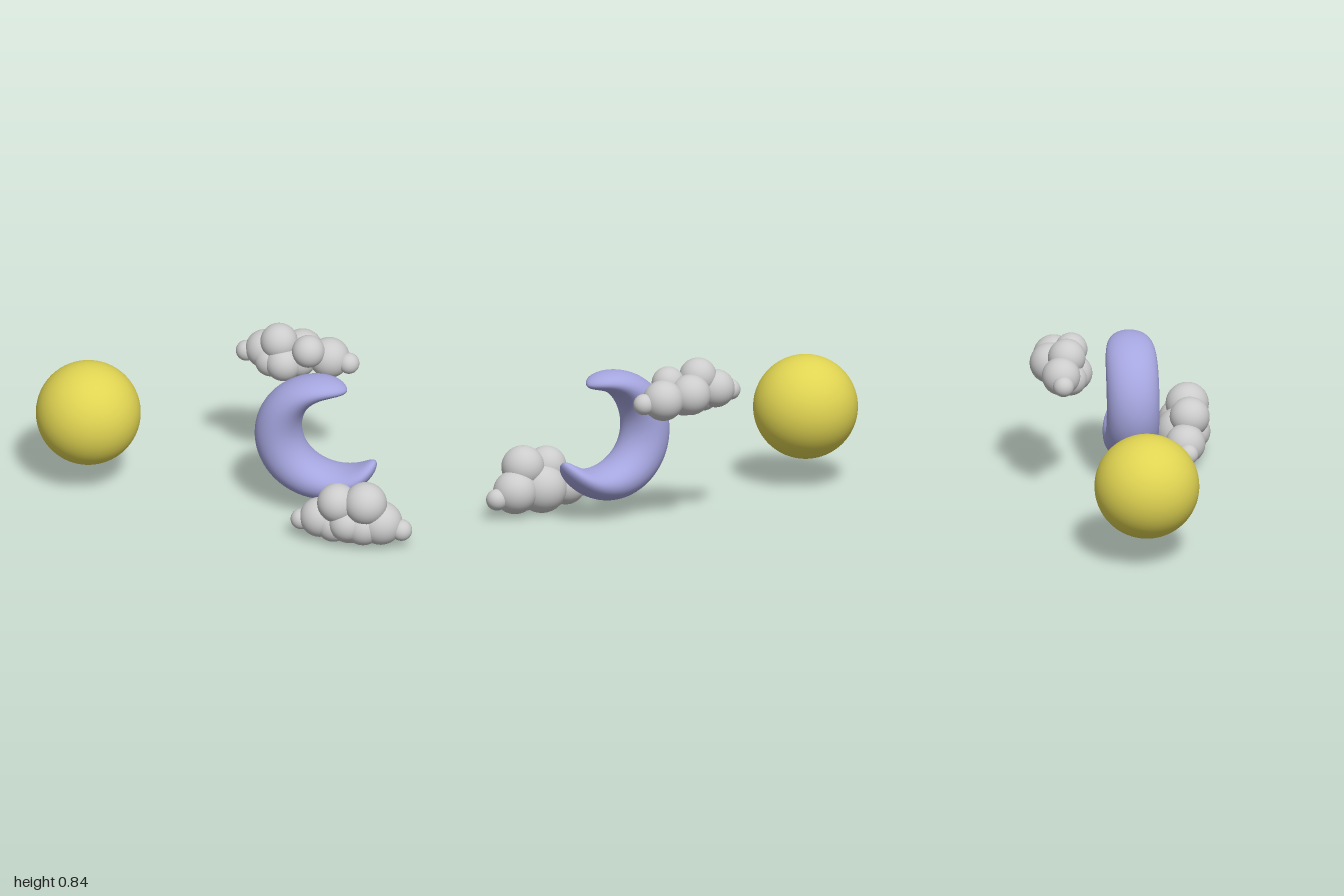
import * as THREE from 'three';

const paint = (color) => new THREE.MeshStandardMaterial({ color });

// Crescent: elliptical rings between an outer circle and an offset inner circle
function crescentGeometry() {
  const R = 0.33, r = 0.2, offset = 0.112, halfWidth = 0.132;
  const tilt = THREE.MathUtils.degToRad(21), sweep = THREE.MathUtils.degToRad(138.5);
  const rings = 96, sides = 48;
  const position = [], index = [];
  for (let i = 0; i <= rings; i++) {
    const t = Math.sin((i / rings - 0.5) * Math.PI); // rings crowd towards the tips
    const k = Math.abs(t);
    const phi = Math.PI + t * sweep;
    const inner = offset * Math.cos(phi) + Math.sqrt(r * r - (offset * Math.sin(phi)) ** 2);
    const mid = (R + inner) / 2;
    const thick = ((R - inner) / 2) * Math.sqrt(Math.max(0, 1 - k ** 24));
    const wide = halfWidth * Math.max(0, 1 - k ** 7) ** 0.62;
    for (let j = 0; j < sides; j++) {
      const a = (j / sides) * Math.PI * 2;
      const d = mid + thick * Math.cos(a);
      position.push(d * Math.cos(phi + tilt), d * Math.sin(phi + tilt), wide * Math.sin(a));
      if (i < rings) {
        const n = (j + 1) % sides, p = i * sides, q = p + sides;
        index.push(p + j, q + j, q + n, p + j, q + n, p + n);
      }
    }
  }
  const geometry = new THREE.BufferGeometry();
  geometry.setAttribute('position', new THREE.Float32BufferAttribute(position, 3));
  geometry.setIndex(index);
  geometry.computeVertexNormals();
  return geometry;
}

// Cloud: overlapping puffs, each given as [x, y, z, radius]
function cloud(name, puffs) {
  const group = new THREE.Group();
  group.name = name;
  const geometry = new THREE.SphereGeometry(1, 40, 28);
  const material = paint(0xcccccc);
  for (const [x, y, z, radius] of puffs) {
    const puff = new THREE.Mesh(geometry, material);
    puff.name = 'puff';
    puff.position.set(x, y, z);
    puff.scale.setScalar(radius);
    group.add(puff);
  }
  return group;
}

export function createModel() {
  const model = new THREE.Group();
  model.name = 'skyOrnaments';

  const sun = new THREE.Mesh(new THREE.SphereGeometry(0.262, 64, 48), paint(0xe0d452));
  sun.name = 'sun';
  sun.position.set(-0.738, 0.4, 0.03);
  model.add(sun);

  const moon = new THREE.Mesh(crescentGeometry(), paint(0xa6a6e0));
  moon.name = 'crescentMoon';
  moon.position.set(0.455, 0.42, 0.045);
  model.add(moon);

  model.add(cloud('frontCloud', [
    [0.43, 0.1, 0.335, 0.052],
    [0.525, 0.12, 0.33, 0.1],
    [0.6, 0.095, 0.35, 0.085],
    [0.622, 0.225, 0.36, 0.1],
    [0.68, 0.126, 0.32, 0.125],
    [0.675, 0.125, 0.378, 0.09],
    [0.767, 0.239, 0.36, 0.108],
    [0.755, 0.11, 0.36, 0.095],
    [0.838, 0.125, 0.33, 0.11],
    [0.946, 0.1, 0.335, 0.054],
  ]));

  model.add(cloud('backCloud', [
    [-0.013, 0.66, -0.326, 0.052],
    [0.08, 0.68, -0.33, 0.096],
    [0.125, 0.645, -0.28, 0.082],
    [0.163, 0.746, -0.295, 0.094],
    [0.195, 0.65, -0.255, 0.091],
    [0.265, 0.68, -0.37, 0.102],
    [0.26, 0.65, -0.31, 0.087],
    [0.322, 0.728, -0.26, 0.082],
    [0.41, 0.665, -0.34, 0.102],
    [0.515, 0.655, -0.32, 0.053],
  ]));

  return model;
}
